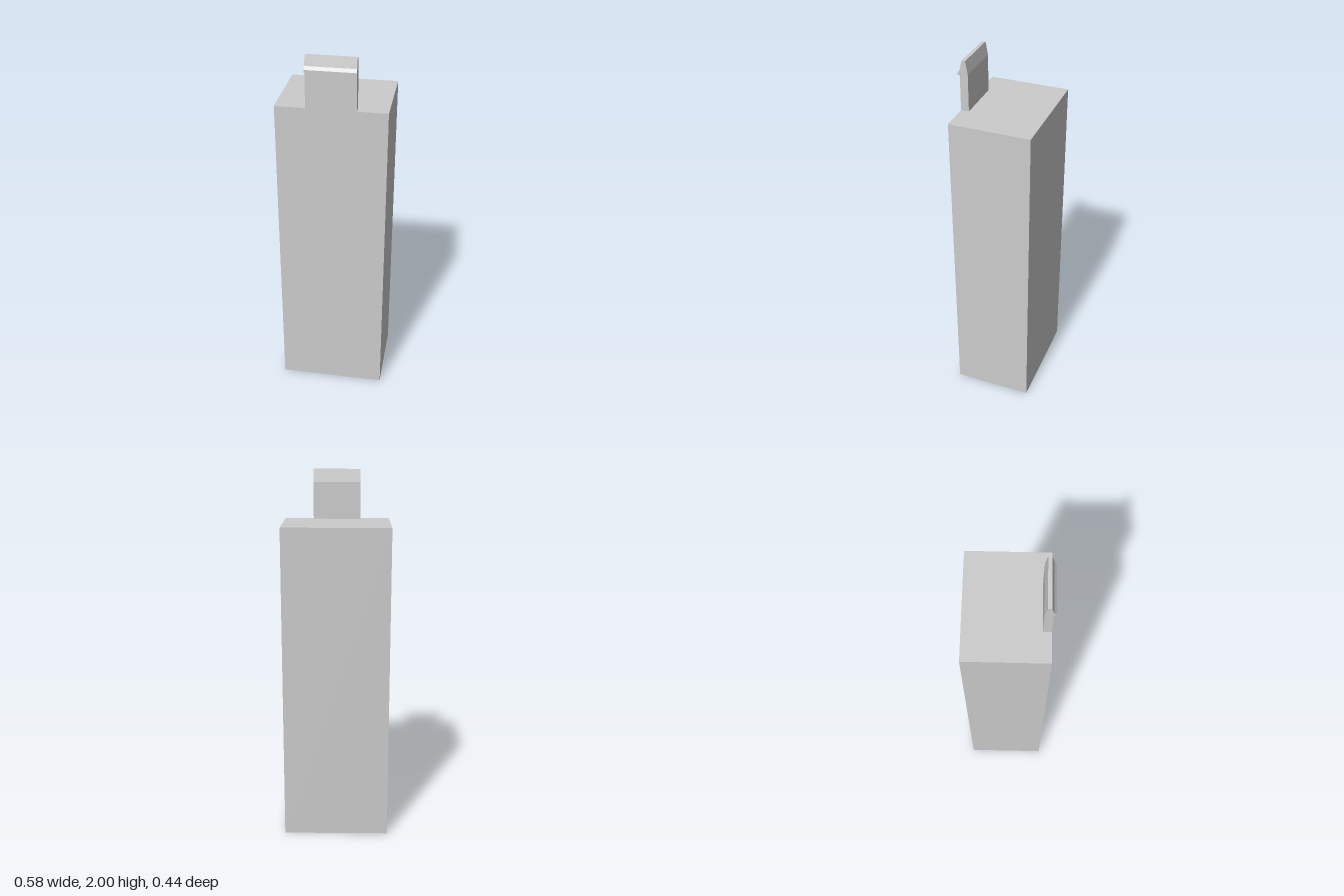
import * as THREE from 'three';

export function createModel() {
  const group = new THREE.Group();
  const material = new THREE.MeshStandardMaterial({ color: 0xcccccc, flatShading: true });

  // Tall rectangular body
  const height = 1.73, back = -0.223, front = 0.209;
  const body = new THREE.Mesh(new THREE.BoxGeometry(0.577, height, front - back), material);
  body.name = 'body';
  body.position.set(0, height / 2, (front + back) / 2);
  group.add(body);

  // Snap tab: side profile (z, y) with a barb in front and a tapered tip
  const profile = [
    [0.166, height], [front, height], [front, 1.92], [0.221, 1.922], [0.221, 1.934],
    [front, 1.95], [0.197, 2], [0.178, 2], [0.166, 1.93],
  ];
  const width = 0.259;
  const shape = new THREE.Shape(profile.map(([z, y]) => new THREE.Vector2(z, y)));
  const tabGeometry = new THREE.ExtrudeGeometry(shape, { depth: width, bevelEnabled: false });
  tabGeometry.rotateY(-Math.PI / 2).translate(width / 2, 0, 0);
  const tab = new THREE.Mesh(tabGeometry, material);
  tab.name = 'snapTab';
  group.add(tab);

  return group;
}
